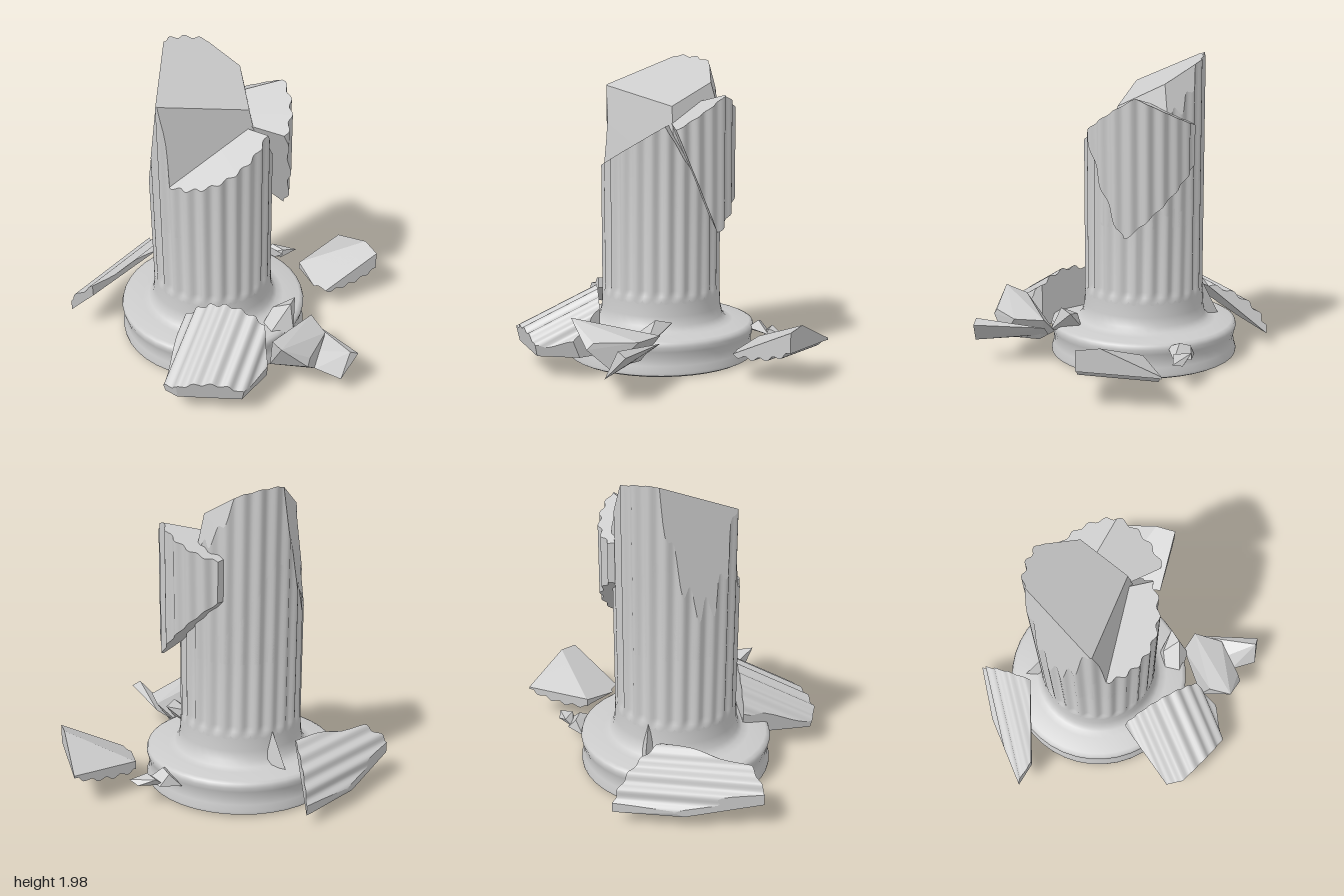
import * as THREE from 'three';
import { mergeGeometries, toCreasedNormals } from 'three/addons/utils/BufferGeometryUtils.js';
import { ConvexGeometry } from 'three/addons/geometries/ConvexGeometry.js';

const V = (x, y, z) => new THREE.Vector3(x, y, z);
const CX = -0.175, CZ = 0.105, R = 0.392;

// Fluted cylinder as a list of outward facing polygons; levels are [y, flute depth]
function fluted(radius, levels) {
  const flutes = Math.round(radius * 61.5), n = flutes * 8;
  const ring = ([y, depth]) => Array.from({ length: n }, (_, i) => {
    const t = (i / n) * Math.PI * 2;
    const r = radius - depth * (0.5 - 0.5 * Math.cos(t * flutes));
    return V(r * Math.sin(t), y, r * Math.cos(t));
  });
  const rings = levels.map(ring), polys = [];
  const bottom = rings[0], top = rings[rings.length - 1];
  const c0 = V(0, levels[0][0], 0), c1 = V(0, levels[levels.length - 1][0], 0);
  for (let i = 0; i < n; i++) {
    const j = (i + 1) % n;
    for (let k = 0; k + 1 < rings.length; k++) {
      polys.push({ v: [rings[k][i], rings[k][j], rings[k + 1][j], rings[k + 1][i]], cut: false });
    }
    polys.push({ v: [c0, bottom[j], bottom[i]], cut: true });
    polys.push({ v: [c1, top[i], top[j]], cut: true });
  }
  return polys;
}

// Break the solid along a plane [point, outward normal] and close the break
function clip(polys, [point, normal]) {
  const p = V(...point), n = V(...normal).normalize();
  const dist = (v) => n.dot(v) - n.dot(p);
  const kept = [], edges = [], centre = V(0, 0, 0);
  for (const { v, cut } of polys) {
    const out = [];
    let exit = null, entry = null;
    v.forEach((a, i) => {
      const b = v[(i + 1) % v.length], da = dist(a), db = dist(b);
      if (da <= 0) out.push(a);
      if ((da <= 0) !== (db <= 0)) {
        const m = a.clone().lerp(b, da / (da - db));
        out.push(m);
        if (da <= 0) exit = m; else entry = m;
      }
    });
    if (out.length > 2) kept.push({ v: out, cut });
    if (exit && entry) {
      edges.push([entry, exit]);
      centre.add(entry).add(exit);
    }
  }
  centre.divideScalar(Math.max(1, edges.length * 2));
  for (const [a, b] of edges) kept.push({ v: [centre, a, b], cut: true });
  return kept;
}

// Smooth flutes, flat breaks
function toGeometry(polys) {
  const parts = [false, true].map((cut) => {
    const pos = [];
    for (const poly of polys) {
      if (poly.cut !== cut) continue;
      for (let i = 1; i + 1 < poly.v.length; i++) {
        for (const q of [poly.v[0], poly.v[i], poly.v[i + 1]]) pos.push(q.x, q.y, q.z);
      }
    }
    const g = new THREE.BufferGeometry();
    g.setAttribute('position', new THREE.Float32BufferAttribute(pos, 3));
    if (cut) g.computeVertexNormals();
    return cut ? g : toCreasedNormals(g, 0.8);
  });
  return mergeGeometries(parts);
}

// Piece of fluted stone: crest is a point on the fluted face, out its direction
function fragment({ crest, axis, out, planes, radius = R, levels = [[-0.9, 0.022], [0.9, 0.022]] }) {
  const y = V(...axis).normalize(), z = V(...out);
  z.addScaledVector(y, -z.dot(y)).normalize();
  const m = new THREE.Matrix4().makeBasis(y.clone().cross(z), y, z);
  m.setPosition(V(...crest).addScaledVector(z, -radius));
  let polys = fluted(radius, levels);
  polys = polys.map(({ v, cut }) => ({ v: v.map((q) => q.clone().applyMatrix4(m)), cut }));
  return toGeometry(planes.reduce(clip, polys));
}

export function createModel() {
  const group = new THREE.Group();
  const stone = new THREE.MeshStandardMaterial({ color: 0xcccccc });
  const add = (name, geometry) => {
    const mesh = new THREE.Mesh(geometry, stone);
    mesh.name = name;
    group.add(mesh);
    return mesh;
  };

  // Moulded base running up into the plain foot of the shaft
  const profile = [[0, 0], [0.595, 0], [0.595, 0], [0.618, 0.012], [0.62, 0.03], [0.605, 0.07], [0.602, 0.12],
    [0.612, 0.16], [0.62, 0.19], [0.612, 0.215], [0.59, 0.225], [0.48, 0.228], [0.435, 0.24],
    [0.41, 0.27], [0.397, 0.33], [R, 0.43]];
  const base = new THREE.LatheGeometry(profile.map((q) => new THREE.Vector2(...q)), 40);
  add('base', toCreasedNormals(base.toNonIndexed(), 0.9)).position.set(CX, 0, CZ);

  // Shaft: lower body with sloping break, upper spike, both sharing the left chip
  const upright = { crest: [CX, 0, CZ + R], axis: [0, 1, 0], out: [0, 0, 1] };
  const chip = [[-0.55, 1.9, 0.08], [-6.1, 1, 4.4]];
  add('shaft', fragment({ ...upright,
    levels: [[0.4, 0], [0.43, 0], [0.455, 0.012], [0.49, 0.022], [2.2, 0.022]],
    planes: [chip, [[0, 1.53, 0.02], [0, 1, 0.58]], [[0, 1.53, 0.02], [0, 1, -1.8]]] }));
  add('shaftSpike', fragment({ ...upright,
    levels: [[0.9, 0.022], [2.2, 0.022]],
    planes: [chip,
      [[-0.45, 1.94, -0.18], [0.545, 1, 0.1]],
      [[0.05, 1.65, 0], [6.8, 1, 4.2]],
      [[0.05, 1.65, 0], [3.8, 1, -3.25]],
      [[-0.4, 1.95, -0.18], [0, 1, -3.6]]] }));

  // Slab splitting away from the back of the shaft
  add('backSlab', fragment({ crest: [-0.1, 1.3, -0.39], axis: [0, 1, 0], out: [0, 0, -1],
    planes: [
      [[0.1, 1.69, -0.3], [0.25, 0.85, 0.45]],
      [[0, 1.69, -0.37], [-0.4, 0.9, -0.15]],
      [[0.25, 1.45, -0.08], [0.2, -0.38, 0.9]],
      [[0.12, 0.86, -0.38], [-0.67, -0.74, 0]],
      [[-0.36, 1.3, -0.2], [-1, 0, 0]]] }));

  // Fallen fluted pieces
  add('frontFragment', fragment({ crest: [0.25, 0.4, 0.7], axis: [-0.2, 0.45, -0.87], out: [0.05, 0.87, 0.45],
    planes: [
      [[0, 0.14, 0], [0, -1, 0]],
      [[0.2, 0.45, 0.46], [-0.27, 0, -0.96]],
      [[0.57, 0.25, 0.6], [0.95, -0.25, 0]],
      [[0.34, 0.26, 0.92], [0.5, -0.2, 0.8]],
      [[0.12, 0.27, 1.0], [0, -0.2, 1]],
      [[0, 0.3, 0.77], [-0.93, -0.2, 0.35]],
      [[0.5, 0.4, 0.45], [0.75, 0, -0.65]]] }));
  add('leftFragment', fragment({ crest: [-0.87, 0.3, 0.3], axis: [0.03, 0, 1], out: [-0.68, 0.73, 0],
    planes: [
      [[-0.81, 0.24, 0.3], [0.68, -0.73, 0]],
      [[-0.98, 0.1, 0], [-1, 0, 0]],
      [[-0.7, 0.3, 0.07], [0.6, 0, -0.8]],
      [[-0.66, 0.39, 0.13], [0.98, 0, 0.19]],
      [[-0.75, 0.3, 0.65], [0.6, 0, 0.75]],
      [[-0.85, 0.2, 0.76], [0, 0, 1]],
      [[-0.95, 0.2, 0.4], [-0.98, 0, 0.19]]] }));
  add('backFragment', fragment({ crest: [0.33, 0.135, -0.62], axis: [0.88, 0.05, 0.46], out: [0, -1, -0.1],
    radius: 0.7,
    planes: [
      [[0.44, 0.36, -0.82], [-0.44, 0.9, -0.02]],
      [[0.44, 0.36, -0.82], [-0.1, 0.9, 0.44]],
      [[0.13, 0.2, -0.78], [-0.99, 0, -0.14]],
      [[0.49, 0.2, -0.58], [0.88, 0, 0.48]],
      [[0.16, 0.2, -1.0], [0.45, 0, -0.89]],
      [[0.23, 0.2, -0.48], [-0.53, 0, 0.85]]] }));

  // Small broken chips around the base
  const chips = {
    rightChip: [[0.46, 0.2, 0.07], [0.55, 0.3, 0.0], [0.72, 0.3, 0.1], [0.75, 0.14, 0.27], [0.5, 0.14, 0.4],
      [0.66, 0.42, 0.52], [0.78, 0.26, 0.4], [0.77, 0.3, 0.36], [0.54, 0.37, 0.44], [0.55, 0.14, 0.12]],
    farRightChip: [[0.98, 0.28, 0.13], [0.94, 0.14, 0.26], [0.95, 0.31, 0.18], [0.76, 0.14, 0.27],
      [0.77, 0.26, 0.13], [0.55, 0.25, 0.0], [0.5, 0.18, 0.08], [0.55, 0.14, 0.2]],
    baseChip: [[0.28, 0.21, 0.06], [0.39, 0.34, -0.05], [0.42, 0.36, 0.05], [0.48, 0.2, 0.1],
      [0.38, 0.2, 0.25], [0.29, 0.2, 0.21], [0.3, 0.3, 0.08]],
    sideChip: [[-0.69, 0.2, 0], [-0.54, 0.2, -0.06], [-0.55, 0.2, 0.06], [-0.56, 0.45, 0]],
    backChipInner: [[-0.27, 0.14, -0.5], [-0.22, 0.22, -0.56], [-0.2, 0.15, -0.62], [-0.08, 0.16, -0.62],
      [-0.1, 0.2, -0.48], [-0.15, 0.24, -0.55]],
    backChipTip: [[-0.2, 0.15, -0.58], [-0.19, 0.2, -0.64], [-0.1, 0.15, -0.71], [-0.03, 0.17, -0.72],
      [-0.08, 0.2, -0.62], [-0.09, 0.14, -0.6]],
  };
  for (const [name, points] of Object.entries(chips)) {
    add(name, new ConvexGeometry(points.map((q) => V(...q))));
  }
  return group;
}
